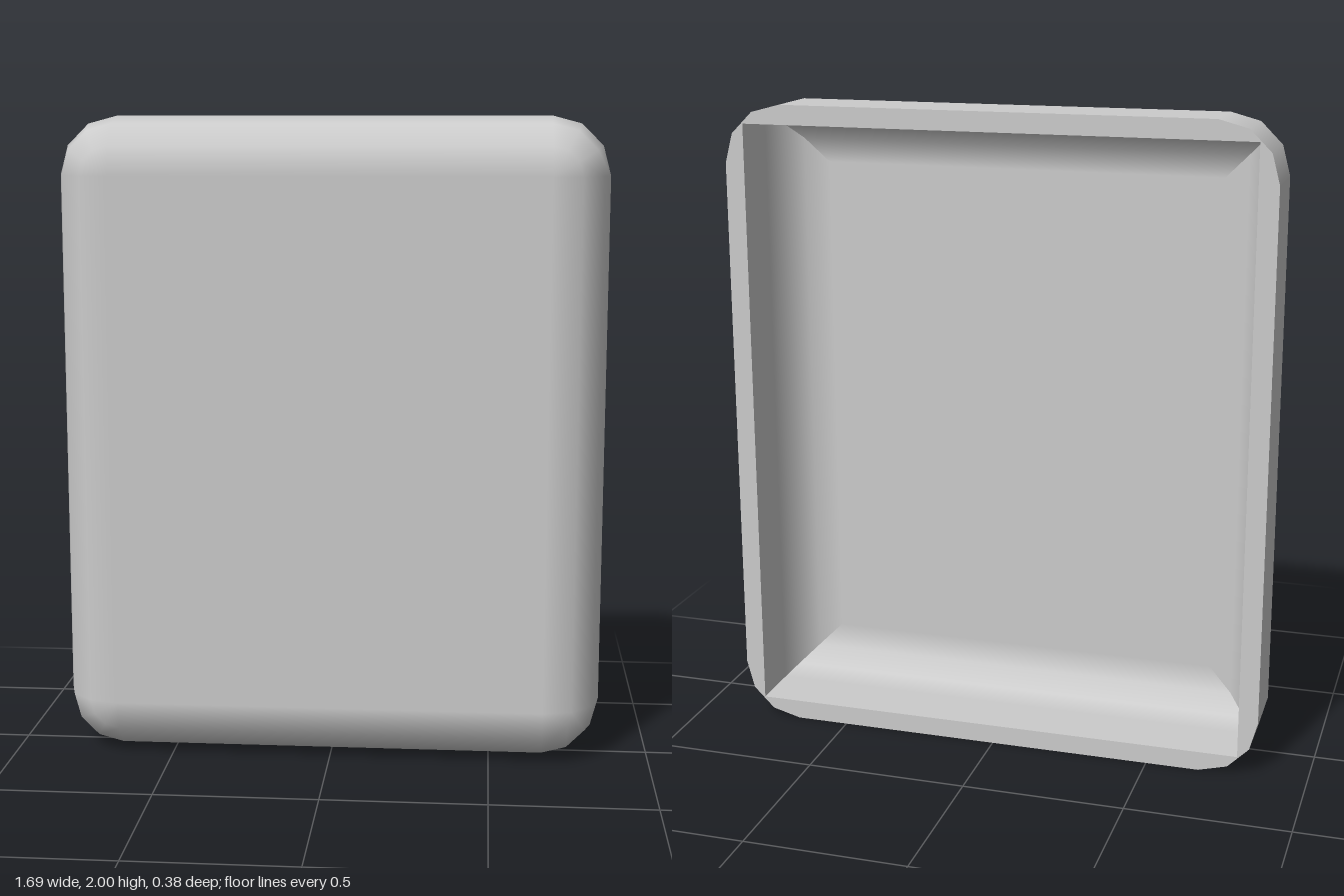
import * as THREE from 'three';

const HW = 0.845, HH = 1, HD = 0.19; // outer half sizes
const R = 0.18, WALL = 0.06, RI = 0.15; // outer radius, wall thickness, inner fillet radius
const STEPS = 3;
const material = new THREE.MeshStandardMaterial({ color: 0xcccccc });

// Smooth surface from a grid of points with normals: rows of [x, y, z, nx, ny, nz]
function gridSurface(rows) {
  const cols = rows[0].length, index = [];
  const flat = rows.flat();
  for (let r = 0; r < rows.length - 1; r++) {
    for (let c = 0; c < cols - 1; c++) {
      const a = r * cols + c, b = a + 1, d = a + cols, e = d + 1;
      index.push(a, b, e, a, e, d);
    }
  }
  const g = new THREE.BufferGeometry();
  g.setAttribute('position', new THREE.Float32BufferAttribute(flat.flatMap(p => p.slice(0, 3)), 3));
  g.setAttribute('normal', new THREE.Float32BufferAttribute(flat.flatMap(p => p.slice(3)), 3));
  g.setIndex(index);
  return g;
}

// Edge profile from the open back to the front: [z, angle]
function edgeProfile(radius, front) {
  const profile = [[-HD, 0]];
  for (let i = 0; i <= STEPS; i++) {
    const a = (i / STEPS) * Math.PI / 2;
    profile.push([front - radius + radius * Math.sin(a), a]);
  }
  return profile;
}

// Closed outline with rounded corners: [x, y, nx, ny]
function outline(radius) {
  const pts = [];
  [[1, 1], [-1, 1], [-1, -1], [1, -1]].forEach(([sx, sy], k) => {
    for (let i = 0; i <= STEPS; i++) {
      const b = (k + i / STEPS) * Math.PI / 2, c = Math.cos(b), s = Math.sin(b);
      pts.push([sx * (HW - R) + radius * c, sy * (HH - R) + radius * s, c, s]);
    }
  });
  pts.push(pts[0]);
  return pts;
}

// Outer wall with spherical front corners
function outerWall() {
  return gridSurface(edgeProfile(R, HD).map(([z, a]) =>
    outline(R * Math.cos(a)).map(([x, y, nx, ny]) =>
      [x, y, z, nx * Math.cos(a), ny * Math.cos(a), Math.sin(a)])));
}

// One inner wall with its fillet, mitred at both ends
function innerWall(k) {
  const dx = Math.round(Math.cos(k * Math.PI / 2)), dy = Math.round(Math.sin(k * Math.PI / 2));
  const [out, along] = k % 2 ? [HH, HW] : [HW, HH];
  return gridSurface(edgeProfile(RI, HD - WALL).map(([z, a]) => {
    const inset = WALL + RI * (1 - Math.cos(a)), c = Math.cos(a);
    return [1, -1].map(end => {
      const d = out - inset, t = end * (along - inset);
      return [dx * d - dy * t, dy * d + dx * t, z, -dx * c, -dy * c, -Math.sin(a)];
    });
  }));
}

// Flat rim around the rectangular opening
function rim() {
  const shape = new THREE.Shape(outline(R).slice(0, -1).map(([x, y]) => new THREE.Vector2(x, y)));
  const w = HW - WALL, h = HH - WALL;
  shape.holes.push(new THREE.Path([[-w, -h], [-w, h], [w, h], [w, -h]].map(p => new THREE.Vector2(...p))));
  return new THREE.ShapeGeometry(shape).rotateY(Math.PI).translate(0, 0, -HD);
}

export function createModel() {
  const model = new THREE.Group();
  model.name = 'roundedTray';
  const add = (name, geometry) => {
    const mesh = new THREE.Mesh(geometry, material);
    mesh.name = name;
    mesh.position.y = HH;
    model.add(mesh);
  };

  // Outside
  add('outerWall', outerWall());
  add('frontPanel', new THREE.PlaneGeometry(2 * (HW - R), 2 * (HH - R)).translate(0, 0, HD));
  add('backRim', rim());

  // Inside
  ['innerWallLeft', 'innerWallTop', 'innerWallRight', 'innerWallBottom']
    .forEach((name, k) => add(name, innerWall(k)));
  const inset = WALL + RI;
  add('innerPanel', new THREE.PlaneGeometry(2 * (HW - inset), 2 * (HH - inset))
    .rotateY(Math.PI).translate(0, 0, HD - WALL));

  return model;
}
